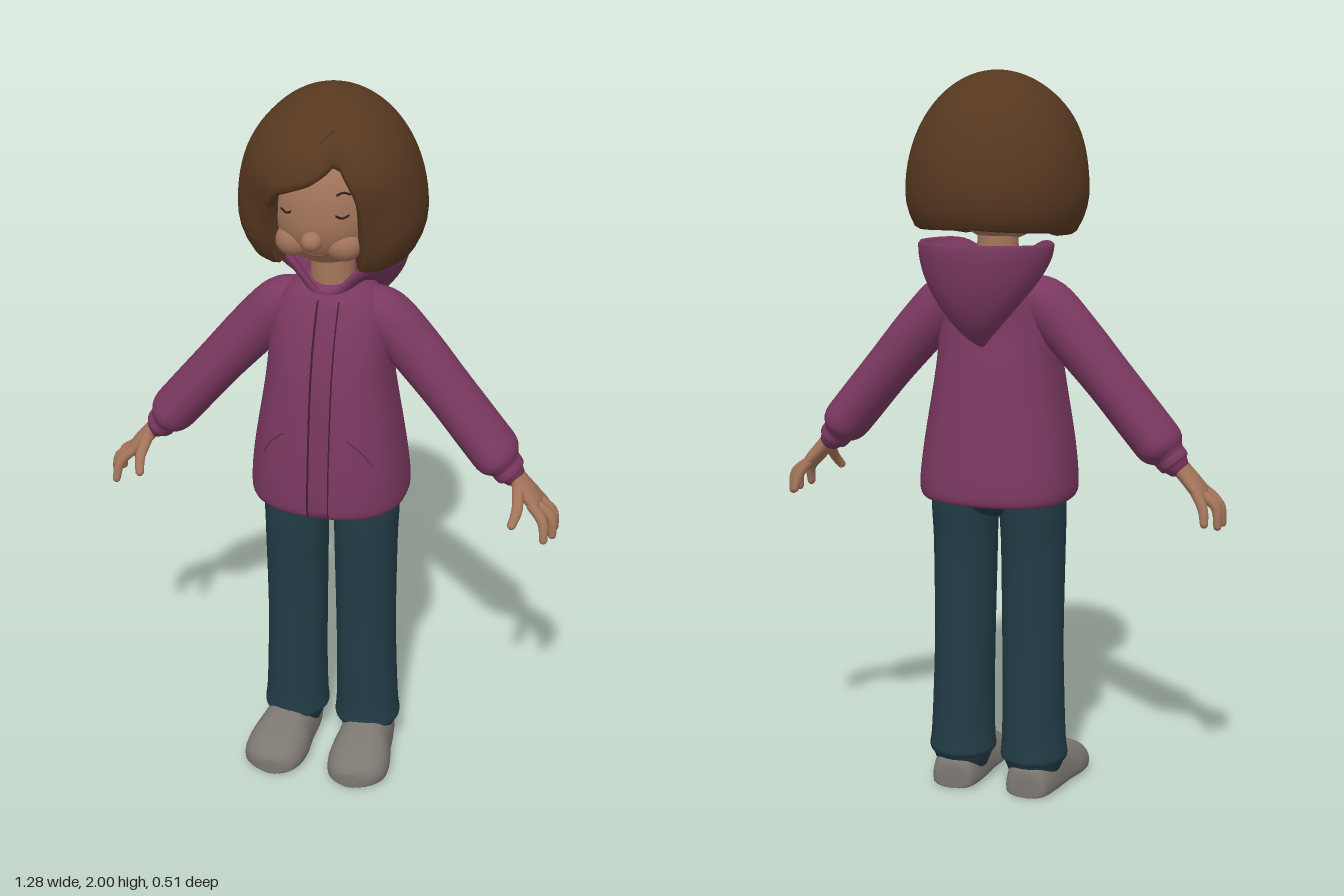
import * as THREE from 'three';
import { mergeVertices } from 'three/addons/utils/BufferGeometryUtils.js';

const V = (x, y, z) => new THREE.Vector3(x, y, z);
const mat = (name, color, side = THREE.FrontSide) => {
  const m = new THREE.MeshStandardMaterial({ color, side });
  m.name = name;
  return m;
};
const step = (a, b, x) => THREE.MathUtils.smoothstep(x, a, b);
const bell = (x, w) => Math.exp(-((x / w) ** 2));
const spow = (v, p) => Math.sign(v) * Math.abs(v) ** p;

// Smoothly resamples a list of number rows
function smooth(rows, n = 5) {
  const out = [], at = i => rows[Math.max(0, Math.min(rows.length - 1, i))];
  for (let i = 0; i < rows.length - 1; i++)
    for (let k = 0; k < n; k++) {
      const t = k / n;
      out.push(rows[i].map((b, j) => {
        const a = at(i - 1)[j], c = at(i + 1)[j], d = at(i + 2)[j];
        return 0.5 * (2 * b + (c - a) * t + (2 * a - 5 * b + 4 * c - d) * t * t + (3 * b - a - 3 * c + d) * t ** 3);
      }));
    }
  out.push(rows[rows.length - 1]);
  return out;
}

// Skins closed rings of points; faces are turned outward automatically
function loft(rings, cap = true) {
  if (cap) {
    const mid = r => { const c = r.reduce((s, p) => s.add(p), V(0, 0, 0)).divideScalar(r.length); return r.map(() => c); };
    rings = [mid(rings[0]), ...rings, mid(rings[rings.length - 1])];
  }
  const n = rings[0].length, pts = rings.flat(), tris = [];
  for (let i = 0; i < rings.length - 1; i++)
    for (let j = 0; j < n; j++) {
      const a = i * n + j, b = i * n + (j + 1) % n, c = a + n, d = b + n;
      tris.push([a, b, d], [a, d, c]);
    }
  const centre = new THREE.Box3().setFromPoints(pts).getCenter(V(0, 0, 0));
  const q = pts.map(p => p.clone().sub(centre));
  const volume = tris.reduce((s, [a, b, c]) => s + q[a].dot(q[b].clone().cross(q[c])), 0);
  const g = new THREE.BufferGeometry().setFromPoints(pts);
  g.setIndex(tris.flatMap(([a, b, c]) => volume > 0 ? [a, b, c] : [a, c, b]));
  const m = mergeVertices(g, 1e-5);
  m.computeVertexNormals();
  return m;
}

const ring = (n, f) => Array.from({ length: n }, (_, i) => f(i / n * Math.PI * 2));

// Limb from stations [x, y, z, radius across, radius in z], with rounded ends
function limb(stations, s = 1, sides = 24) {
  const st = smooth(stations), rings = [];
  st.forEach((p, i) => {
    const a = st[Math.max(0, i - 1)], b = st[Math.min(st.length - 1, i + 1)];
    const d = V(b[0] - a[0], b[1] - a[1], 0).normalize();
    const add = (along, k) => rings.push(ring(sides, t => V(
      s * (p[0] + d.x * along - d.y * p[3] * k * Math.cos(t)),
      p[1] + d.y * along + d.x * p[3] * k * Math.cos(t),
      p[2] + p[4] * k * Math.sin(t))));
    if (i === 0) add(-p[3] * 0.5, 0.7);
    add(0, 1);
    if (i === st.length - 1) { add(p[3] * 0.5, 0.8); add(p[3] * 0.8, 0.45); }
  });
  return loft(rings);
}

// Jacket body stations: y, half width, front z, back z
const BODY = smooth([
  [0.842, 0.19, 0.175, -0.145], [0.85, 0.21, 0.2, -0.165], [0.89, 0.216, 0.205, -0.168], [1.0, 0.205, 0.2, -0.155],
  [1.2, 0.173, 0.177, -0.13], [1.32, 0.162, 0.15, -0.11], [1.41, 0.148, 0.115, -0.1],
  [1.46, 0.11, 0.085, -0.08], [1.485, 0.05, 0.05, -0.05]]);
const E = 2.4;
function bodyZ(x, y) {
  const i = Math.max(1, BODY.findIndex(r => r[0] >= y)), a = BODY[i - 1], b = BODY[i];
  const k = (y - a[0]) / (b[0] - a[0]), [, w, f, r] = a.map((v, j) => v + (b[j] - v) * k);
  return (f + r) / 2 + (f - r) / 2 * Math.max(0, 1 - Math.abs(x / w) ** E) ** (1 / E);
}
// Raised band running down the jacket front
const band = (x0, x1, lift) => loft(Array.from({ length: 30 }, (_, i) => {
  const y = 0.855 + i / 29 * 0.59, z0 = bodyZ(x0, y), z1 = bodyZ(x1, y);
  return [V(x0, y, z0 - 0.015), V(x0, y, z0 + lift), V(x1, y, z1 + lift), V(x1, y, z1 - 0.015)];
}));

// Head rule: ellipsoid with a narrower chin set forward
function headPoint(p) {
  const low = Math.max(0, -p.y);
  return p.set(p.x * 0.168 * (1 - 0.12 * low * low), 1.715 + p.y * (p.y < 0 ? 0.17 : 0.2), 0.015 + p.z * 0.18 + 0.022 * low);
}
const faceZ = (x, y) => {
  const v = (y - 1.715) / (y < 1.715 ? 0.17 : 0.2);
  return 0.015 + 0.18 * Math.sqrt(Math.max(0, 1 - (x / 0.168) ** 2 - v * v)) + 0.022 * Math.max(0, -v);
};
const line = (pts, r) => new THREE.TubeGeometry(new THREE.CatmullRomCurve3(pts), 12, r, 6);

// Lower hair edge by angle (0 = front, positive to the model's left)
const EDGE = [[-3.15, 1.605], [-1.6, 1.585], [-0.8, 1.56], [-0.63, 1.568], [-0.55, 1.73], [-0.37, 1.785], [0, 1.82],
  [0.27, 1.86], [0.36, 1.85], [0.52, 1.78], [0.6, 1.71], [0.66, 1.565], [0.85, 1.56], [1.6, 1.585], [3.15, 1.605]];
function hairEdge(t) {
  const i = EDGE.findIndex(e => e[0] >= t), [a, ya] = EDGE[i - 1], [b, yb] = EDGE[i];
  return ya + (yb - ya) * (t - a) / (b - a);
}
function hairRadius(t, y) {
  const k = (2 - y) / 0.32;
  let r = k < 1 ? 0.246 * Math.sqrt(Math.max(0, 1 - (1 - k) ** 2)) : 0.246 - 0.03 * ((1.68 - y) / 0.1) ** 2;
  r *= 1 + 0.13 * Math.max(0, Math.cos(t)) * bell(y - 1.89, 0.12);
  r *= 1 - 0.12 * bell(Math.abs(t) - 0.62, 0.25) * (1 - step(1.65, 1.82, y));
  return r * (1 - 0.12 * bell(t - 0.32, 0.13) * (1 - step(1.82, 1.95, y)));
}

export function createModel() {
  const model = new THREE.Group();
  const skin = mat('skin', 0xa3745a), hair = mat('brown hair', 0x573820, THREE.DoubleSide);
  const jacket = mat('plum jacket', 0x7a3860, THREE.DoubleSide), seam = mat('dark plum seam', 0x54263f);
  const denim = mat('dark teal trousers', 0x223c46), shoeGrey = mat('grey shoes', 0x7c7771);
  const lip = mat('lip crease', 0x7c4c3c), lash = mat('dark lashes', 0x2e1e16);
  const add = (name, geometry, material) => {
    const m = new THREE.Mesh(geometry, material);
    m.name = name;
    model.add(m);
    return m;
  };
  const ball = (name, r, pos, scale, material) => {
    const m = add(name, new THREE.SphereGeometry(r, 28, 20), material);
    m.position.set(...pos);
    m.scale.set(...scale);
  };

  // Head, neck and face
  const head = new THREE.SphereGeometry(1, 40, 28), hp = head.attributes.position;
  for (let i = 0; i < hp.count; i++) {
    const p = headPoint(V(0, 0, 0).fromBufferAttribute(hp, i));
    hp.setXYZ(i, p.x, p.y, p.z);
  }
  head.computeVertexNormals();
  add('head', head, skin);
  add('neck', new THREE.CylinderGeometry(0.053, 0.062, 0.2, 28).translate(0, 1.51, 0.005), skin);
  ball('nose', 0.027, [0, 1.656, 0.203], [1, 0.95, 1], skin);
  add('mouth', line([-0.035, -0.018, 0, 0.018, 0.035].map(x => {
    const y = 1.602 + x * x * 9;
    return V(x, y, faceZ(x, y));
  }), 0.003), lip);
  for (const s of [1, -1]) {
    ball('cheek', 0.05, [s * 0.065, 1.632, 0.138], [1, 0.9, 0.9], skin);
    const arc = (y0, bend, w) => [-1, 0, 1].map(k => {
      const x = s * (0.073 + k * w), y = y0 + bend * (1 - k * k);
      return V(x, y, faceZ(x, y));
    });
    add('eyebrow', line(arc(1.775, 0.006, 0.016), 0.003), lash);
    add('eyelid', line(arc(1.724, -0.007, 0.016), 0.003), lash);
  }

  // Bobbed hair: outer shell, rounded edge, then back up inside
  const hairRows = [];
  const hairRing = f => hairRows.push(ring(140, a => {
    const t = a - Math.PI, e = hairEdge(t), [r, y] = f(t, e);
    return V(r * Math.sin(t), y, r * Math.cos(t));
  }));
  for (let i = 0; i <= 26; i++)
    hairRing((t, e) => { const y = 2 - (2 - e) * (i / 26) ** 2; return [hairRadius(t, y), y]; });
  for (const [dr, dy] of [[0.012, -0.008], [0.028, -0.004], [0.036, 0.02], [0.045, 0.08]])
    hairRing((t, e) => [hairRadius(t, e) - dr, e + dy]);
  add('hair', loft(hairRows, false), hair);

  // Jacket body with front band, zip line and pocket welts
  add('jacketBody', loft(BODY.map(([y, w, f, b]) => ring(48, t => V(
    w * spow(Math.cos(t), 2 / E), y, (f + b) / 2 + (f - b) / 2 * spow(Math.sin(t), 2 / E))))), jacket);
  add('frontBand', band(-0.012, 0.04, 0.005), jacket);
  add('zipLine', band(-0.016, -0.011, 0.007), seam);
  add('bandSeam', band(0.04, 0.043, 0.003), seam);

  // Hood: a bowl hanging behind the neck, with a notch at the throat
  const hoodRing = (k, drop, floor) => ring(64, a => {
    const t = a - Math.PI, back = (1 - Math.cos(t)) / 2;
    const rim = 1.548 - 0.088 * bell(t, 0.42), depth = floor ?? 0.085 + 0.19 * back ** 1.6;
    return V(0.182 * k * Math.sin(t), rim - depth * drop, -0.085 + 0.172 * k * Math.cos(t));
  });
  const hood = [];
  for (let i = 0; i <= 12; i++) {
    const a = i / 12 * Math.PI / 2;
    hood.push(hoodRing(Math.sin(a) ** 0.85, Math.cos(a)));
  }
  hood.push(hoodRing(0.97, -0.05), hoodRing(0.91, 0), hoodRing(0.86, 0.5, 0.07), hoodRing(0.6, 1, 0.07), hoodRing(0.2, 1, 0.08));
  add('hood', loft(hood), jacket);

  // Hips
  ball('hips', 1, [0, 0.885, 0.01], [0.18, 0.1, 0.12], denim);

  for (const s of [1, -1]) {
    const side = s > 0 ? 'left' : 'right';
    add(side + 'Pocket', line([[0.088, 1.09], [0.125, 1.055], [0.153, 1.01]].map(([x, y]) => V(s * x, y, bodyZ(x, y))), 0.006), jacket);

    // Sleeve and cuff
    add(side + 'Sleeve', limb([
      [0.08, 1.42, 0, 0.045, 0.055], [0.14, 1.385, 0, 0.07, 0.074], [0.22, 1.3, 0, 0.072, 0.075], [0.32, 1.185, 0.005, 0.067, 0.077],
      [0.42, 1.065, 0.01, 0.066, 0.082], [0.462, 1.015, 0.012, 0.063, 0.083], [0.482, 0.992, 0.014, 0.045, 0.06]], s, 32), jacket);
    add(side + 'Cuff', limb([[0.47, 1.005, 0.014, 0.044, 0.058], [0.497, 0.973, 0.015, 0.043, 0.056], [0.503, 0.966, 0.015, 0.035, 0.046]], s), jacket);

    // Hand with four fingers and a thumb
    add(side + 'Palm', limb([[0.49, 0.985, 0.015, 0.024, 0.034], [0.53, 0.942, 0.02, 0.023, 0.039],
      [0.565, 0.902, 0.021, 0.021, 0.05], [0.582, 0.88, 0.022, 0.014, 0.047]], s), skin);
    const tips = [[0.598, 0.822, -0.042], [0.624, 0.808, 0], [0.626, 0.808, 0.047], [0.61, 0.815, 0.092]];
    tips.forEach(([x, y, z], i) => {
      const z0 = -0.014 + i * 0.024;
      add(side + 'Finger', limb([[0.565, 0.9, z0, 0.014, 0.015], [x - 0.008, 0.862, z0 * 0.45 + z * 0.55, 0.014, 0.014],
        [x, y, z, 0.011, 0.012]], s, 12), skin);
    });
    add(side + 'Thumb', limb([[0.525, 0.945, 0.045, 0.016, 0.018], [0.535, 0.9, 0.09, 0.015, 0.017], [0.527, 0.865, 0.122, 0.012, 0.013]], s, 12), skin);

    // Trouser leg
    add(side + 'Leg', limb([
      [0.1, 0.93, 0.01, 0.08, 0.1], [0.1, 0.82, 0.013, 0.09, 0.108], [0.1, 0.7, 0.018, 0.088, 0.1], [0.101, 0.45, 0.014, 0.085, 0.092],
      [0.104, 0.28, 0.012, 0.086, 0.092], [0.106, 0.15, 0.01, 0.09, 0.092], [0.107, 0.105, 0.01, 0.094, 0.096],
      [0.107, 0.09, 0.01, 0.085, 0.088]], s, 32), denim);

    // Shoe: flat-soled sections along z
    const shoe = smooth([[-0.08, 0.11, 0.025, 0.06], [-0.068, 0.11, 0.058, 0.09], [0, 0.112, 0.073, 0.125], [0.08, 0.117, 0.079, 0.125],
      [0.15, 0.122, 0.089, 0.103], [0.21, 0.124, 0.083, 0.08], [0.243, 0.12, 0.058, 0.062], [0.256, 0.116, 0.025, 0.045]]);
    add(side + 'Shoe', loft(shoe.map(([z, x, w, h]) => ring(28, t => {
      const v = Math.sin(t);
      return V(s * (x + w * spow(Math.cos(t), 0.75)), 0.025 + (v > 0 ? (h - 0.025) * v : -0.025 * Math.abs(v) ** 0.4), z);
    }))), shoeGrey);
  }
  return model;
}
